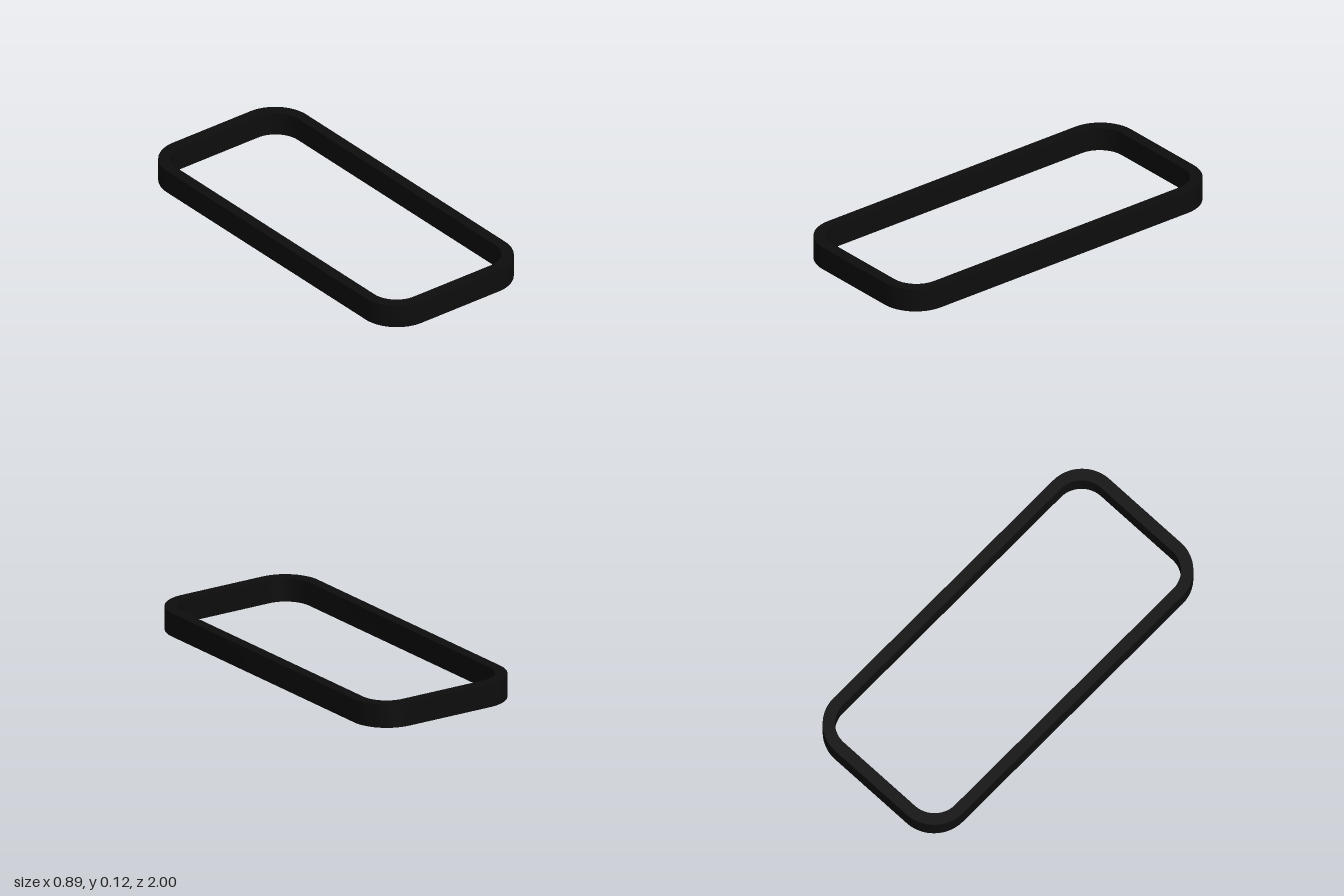
import * as THREE from 'three';
import { toCreasedNormals } from 'three/addons/utils/BufferGeometryUtils.js';

const HEIGHT = 0.124;

// Rounded rectangle from half width, half length and corner radius
function roundedRect(path, w, l, r) {
  path.moveTo(w, -l + r);
  path.absarc(w - r, l - r, r, 0, Math.PI / 2);
  path.absarc(-w + r, l - r, r, Math.PI / 2, Math.PI);
  path.absarc(-w + r, -l + r, r, Math.PI, Math.PI * 1.5);
  path.absarc(w - r, -l + r, r, Math.PI * 1.5, Math.PI * 2);
  return path;
}

export function createModel() {
  const group = new THREE.Group();
  group.name = 'roundedFrame';

  // Flat band with a concentric opening, laid down on the ground
  const outline = roundedRect(new THREE.Shape(), 0.447, 1, 0.2);
  outline.holes.push(roundedRect(new THREE.Path(), 0.388, 0.937, 0.142));
  const band = new THREE.ExtrudeGeometry(outline, {
    depth: HEIGHT, bevelEnabled: false, curveSegments: 16,
  });
  band.rotateX(-Math.PI / 2);

  const frame = new THREE.Mesh(
    toCreasedNormals(band, Math.PI / 6),
    new THREE.MeshStandardMaterial({ color: 0x0d0d0d }),
  );
  frame.name = 'frame';
  group.add(frame);
  return group;
}
